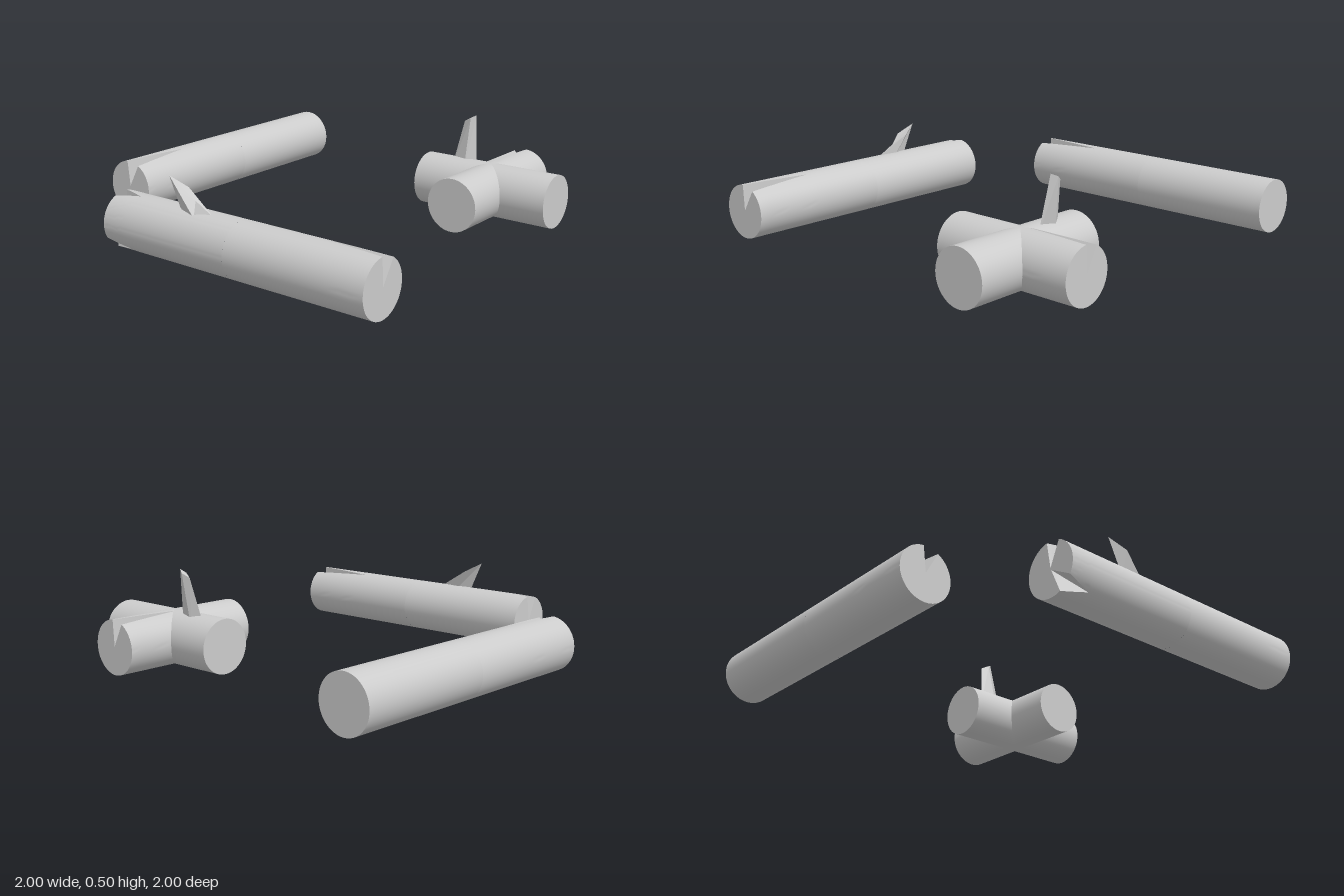
import * as THREE from 'three';
import { toCreasedNormals } from 'three/addons/utils/BufferGeometryUtils.js';

const R = 0.136;
const material = new THREE.MeshStandardMaterial({ color: 0xcccccc });
const rad = THREE.MathUtils.degToRad;

// Collects triangles, leaving out those with no area
function triangleSoup() {
  const pos = [];
  const tri = (a, b, c) => {
    const n = b.clone().sub(a).cross(c.clone().sub(a));
    if (n.length() > 1e-8) for (const p of [a, b, c]) pos.push(p.x, p.y, p.z);
  };
  const quad = (a, b, c, d) => { tri(a, b, c); tri(a, c, d); };
  const geometry = () => new THREE.BufferGeometry()
    .setAttribute('position', new THREE.Float32BufferAttribute(pos, 3));
  return { tri, quad, geometry };
}

// Ring of a log: arcs between notches, each notch dipping to the core; s = 0 closes them
function logRing(notches, s, z) {
  const pts = [];
  const put = (angle, r) => pts.push(new THREE.Vector3(Math.sin(angle) * r, Math.cos(angle) * r, z));
  const steps = Math.ceil(56 / notches.length);
  notches.forEach((n, i) => {
    const next = notches[(i + 1) % notches.length];
    const from = rad(n.at + n.half * s);
    let to = rad(next.at - next.half * s);
    if (i === notches.length - 1) to += Math.PI * 2;
    put(rad(n.at), R * (1 - n.depth * s));
    for (let k = 0; k <= steps; k++) put(from + (to - from) * k / steps, R);
  });
  return pts;
}

// Half a log along +z with a capped, optionally split, outer end
function halfLog(name, length, notches = [{ at: 0, half: 0, depth: 0 }], split = 0.2) {
  const soup = triangleSoup();
  const rings = [logRing(notches, 0, 0)];
  for (let k = 0; k <= 6; k++) rings.push(logRing(notches, k / 6, length - split * (1 - k / 6)));
  const count = rings[0].length;
  const end = rings[rings.length - 1];
  const centre = new THREE.Vector3(0, 0, length);
  for (let i = 0; i < count; i++) {
    const j = (i + 1) % count;
    for (let k = 0; k < rings.length - 1; k++) {
      soup.quad(rings[k][i], rings[k + 1][i], rings[k + 1][j], rings[k][j]);
    }
    soup.tri(centre, end[j], end[i]);
  }
  const mesh = new THREE.Mesh(toCreasedNormals(soup.geometry(), 0.5), material);
  mesh.name = name;
  return mesh;
}

// Two halves joined back to back, turned about y
function log(name, x, z, turn, front, back) {
  const group = new THREE.Group();
  group.name = name;
  back.rotation.y = Math.PI;
  group.add(front, back);
  group.position.set(x, R, z);
  group.rotation.y = turn;
  return group;
}

// Faceted twig stub from four base and four top corners, its root sunk into the log
function twig(name, base, top) {
  const soup = triangleSoup();
  const t = top.map(p => new THREE.Vector3(...p));
  const b = base.map((p, i) => new THREE.Vector3(...p).lerp(t[i], -0.25));
  for (let i = 0; i < 4; i++) {
    const j = (i + 1) % 4;
    soup.quad(b[i], b[j], t[j], t[i]);
  }
  soup.quad(t[0], t[1], t[2], t[3]);
  const geo = soup.geometry();
  geo.computeVertexNormals();
  const mesh = new THREE.Mesh(geo, material);
  mesh.name = name;
  return mesh;
}

export function createModel() {
  const model = new THREE.Group();
  model.name = 'firewoodLogs';
  const crack = (at, half = 17) => ({ at, half, depth: 0.96 });

  // Long log lying front to back, split at the front
  model.add(log('rightLog', -0.864, -0.257, 0,
    halfLog('splitHalf', 0.743, [crack(11)], 0.36),
    halfLog('plainHalf', 0.743)));

  // Long log lying across the front, split at both ends
  model.add(log('frontLog', 0.255, 0.864, Math.PI / 2,
    halfLog('splitHalf', 0.745, [crack(15)], 0.36),
    halfLog('doubleSplitHalf', 0.745, [crack(8, 16), crack(138, 18)], 0.13)));
  model.add(twig('frontLogTwig',
    [[-0.09, 0.27, 0.893], [0, 0.27, 0.922], [0.09, 0.27, 0.887], [-0.01, 0.27, 0.868]],
    [[-0.155, 0.41, 0.893], [-0.07, 0.36, 0.925], [0, 0.318, 0.887], [-0.07, 0.362, 0.857]]));

  // Two short logs crossing through each other
  const cross = new THREE.Group();
  cross.name = 'crossedLogs';
  cross.add(log('crossLogSideways', 0.625, -0.63, Math.PI / 2,
    halfLog('leftHalf', 0.375), halfLog('rightHalf', 0.375)));
  cross.add(log('crossLogLengthwise', 0.625, -0.628, 0,
    halfLog('frontHalf', 0.372),
    halfLog('splitHalf', 0.372, [crack(12, 15)], 0.36)));
  cross.add(twig('crossTwig',
    [[0.4, 0.27, -0.65], [0.475, 0.27, -0.627], [0.525, 0.27, -0.658], [0.45, 0.27, -0.682]],
    [[0.43, 0.458, -0.688], [0.472, 0.478, -0.674], [0.497, 0.495, -0.69], [0.465, 0.48, -0.708]]));
  model.add(cross);
  return model;
}
